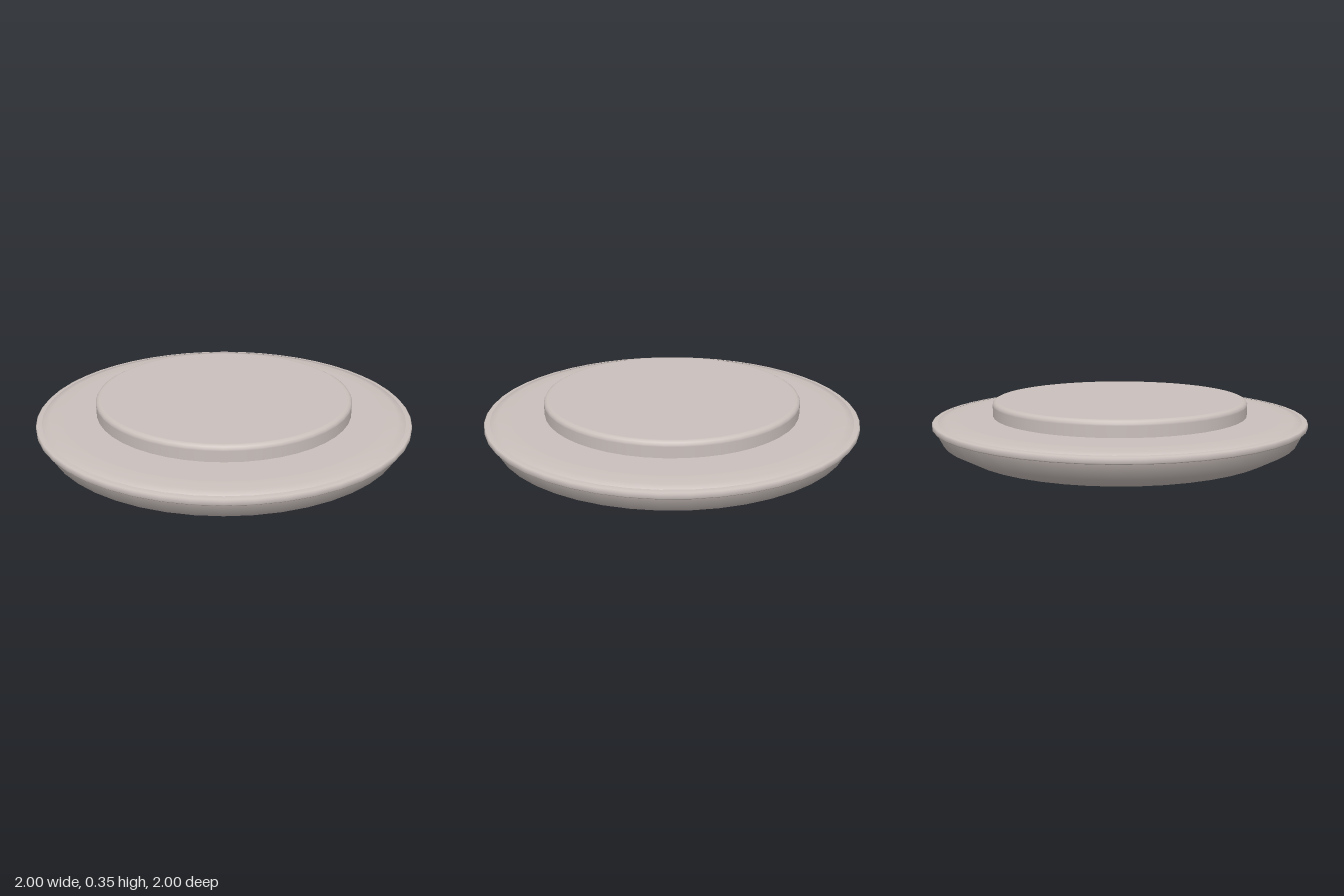
import * as THREE from 'three';

export function createModel() {
  const group = new THREE.Group();
  const shell = new THREE.MeshStandardMaterial({ color: 0xcac0bc });
  shell.name = 'warm grey';

  // Turned part: profile of [radius, height] points running upwards
  const turn = (name, profile) => {
    const points = profile.map(([r, y]) => new THREE.Vector2(r, y));
    const mesh = new THREE.Mesh(new THREE.LatheGeometry(points, 48), shell);
    mesh.name = name;
    group.add(mesh);
  };

  // Shallow rounded underside
  turn('bowl', [[0, 0], [0.34, 0.016], [0.64, 0.05], [0.85, 0.098], [0.95, 0.155], [0.985, 0.228], [0.985, 0.24]]);

  // Thin band around the widest edge
  turn('rim', [[0.97, 0.23], [0.994, 0.232], [1, 0.238], [1, 0.256], [0.994, 0.262], [0.97, 0.264]]);

  // Upper plate, falling away softly to the rim
  turn('topPlate', [[0.975, 0.235], [0.975, 0.262], [0.93, 0.27], [0.87, 0.275], [0.86, 0.275], [0, 0.275]]);

  // Raised central disc with an eased edge
  turn('centreDisc', [[0.688, 0.265], [0.688, 0.33], [0.688, 0.338], [0.682, 0.349], [0.67, 0.355], [0.66, 0.355], [0, 0.355]]);

  return group;
}
